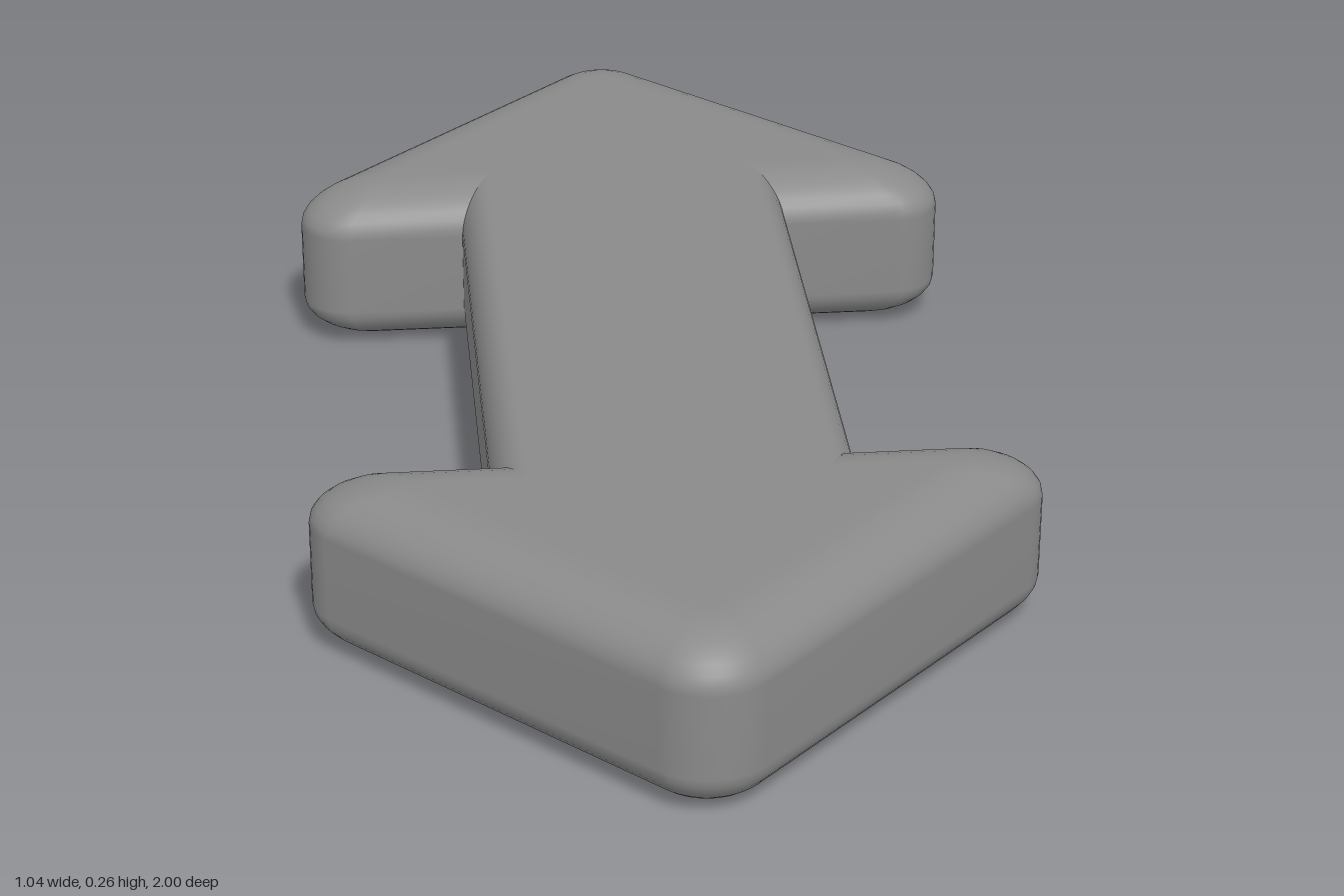
import * as THREE from 'three';

const HEIGHT = 0.264;
const BEVEL = 0.068;      // vertical reach of the rounded edge
const HEAD_INSET = 0.1;   // sideways reach on the arrowheads
const SHAFT_INSET = 0.05; // sideways reach on the shaft
const STEPS = 8;

// Arc of points around a centre
function arc(cx, cy, r, from, to, n) {
  return Array.from({ length: n + 1 }, (_, i) => {
    const a = from + (to - from) * i / n;
    return [cx + r * Math.cos(a), cy + r * Math.sin(a)];
  });
}

// Double arrow outline, counterclockwise; s = 0 is full size, s = 1 the flat face
function outline(s) {
  const d = HEAD_INSET * s;
  const base = 0.416 + d;                   // rear line of the head
  const slope = 1.041 - d * Math.SQRT2;     // x + y on the slanted line
  const rSide = 0.063 * (1 - s) + 0.012, rTip = 0.08 * (1 - s) + 0.02;
  const notch = [0.261 - SHAFT_INSET * s, base];
  const cy = base + rSide;
  const quarter = [
    notch, [...notch],                      // doubled for a sharp inner crease
    ...arc(slope - rSide * Math.SQRT2 - cy, cy, rSide, -Math.PI / 2, Math.PI / 4, 12),
    ...arc(0, slope - rTip * Math.SQRT2, rTip, Math.PI / 4, Math.PI / 2, 6),
  ];
  const mirrored = quarter.slice(0, -1).reverse().map(([x, y]) => [-x, y]);
  const half = [...quarter, ...mirrored];
  return [...half, ...half.map(([x, y]) => [-x, -y])];
}

function arrowGeometry() {
  // Rings from the underside up over the rounded edges
  const levels = [];
  for (let k = 0; k <= STEPS; k++) {
    const t = (1 - k / STEPS) * Math.PI / 2;
    levels.push([1 - Math.cos(t), BEVEL * (1 - Math.sin(t))]);
  }
  levels.push(...levels.slice().reverse().map(([s, y]) => [s, HEIGHT - y]));

  const positions = [], index = [];
  const count = outline(0).length;
  levels.forEach(([s, y], k) => {
    outline(s).forEach(([x, v]) => positions.push(x, y, -v));
    if (k === 0) return;
    for (let i = 0; i < count; i++) {
      const j = (i + 1) % count;
      const a = (k - 1) * count + i, b = (k - 1) * count + j;
      index.push(a, b, b + count, a, b + count, a + count);
    }
  });

  // Flat top and underside
  const last = (levels.length - 1) * count;
  const face = outline(1).map(([x, y]) => new THREE.Vector2(x, y));
  for (const [a, b, c] of THREE.ShapeUtils.triangulateShape(face, [])) {
    index.push(last + a, last + b, last + c, a, c, b);
  }

  const geometry = new THREE.BufferGeometry();
  geometry.setAttribute('position', new THREE.Float32BufferAttribute(positions, 3));
  geometry.setIndex(index);
  geometry.computeVertexNormals();
  // Rounded edges run tangent into the flat faces
  for (let i = 0; i < count; i++) {
    geometry.attributes.normal.setXYZ(i, 0, -1, 0);
    geometry.attributes.normal.setXYZ(last + i, 0, 1, 0);
  }
  return geometry;
}

export function createModel() {
  const group = new THREE.Group();
  group.name = 'doubleArrow';
  const arrow = new THREE.Mesh(arrowGeometry(), new THREE.MeshStandardMaterial({ color: 0x8a8a8a }));
  arrow.name = 'doubleHeadedArrow';
  group.add(arrow);
  return group;
}
